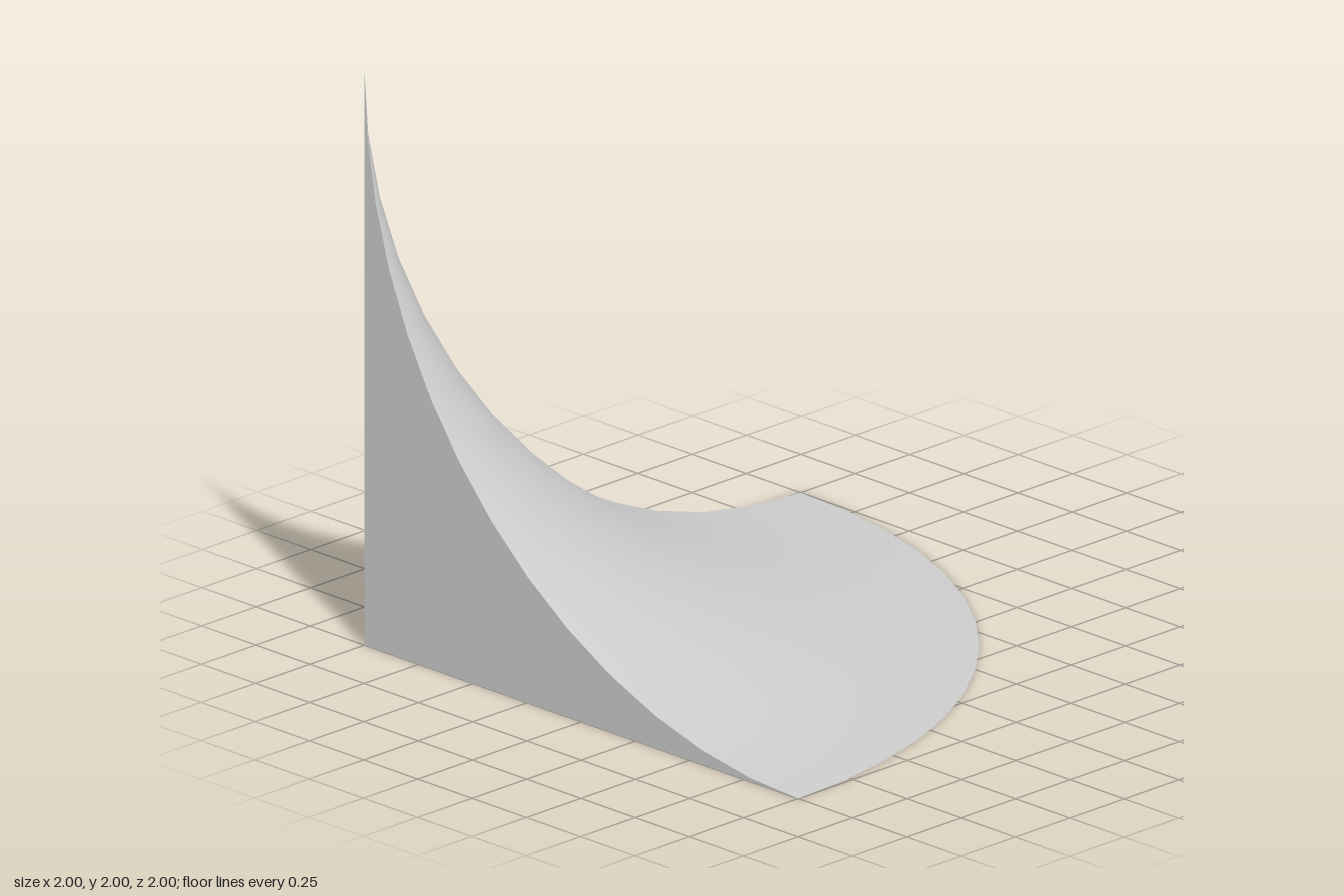
import * as THREE from 'three';

const SIZE = 2;
const SEGMENTS = 14;

export function createModel() {
  const group = new THREE.Group();
  group.name = 'quarterFlare';
  const material = new THREE.MeshStandardMaterial({ color: 0xcccccc });

  const add = (name, geometry) => {
    const mesh = new THREE.Mesh(geometry, material);
    mesh.name = name;
    group.add(mesh);
  };

  // Concave quarter-circle profile, from the outer rim up to the tip
  const profile = [];
  for (let i = 0; i <= SEGMENTS; i++) {
    const a = (i / SEGMENTS) * Math.PI / 2;
    profile.push(new THREE.Vector2(SIZE * (1 - Math.sin(a)), SIZE * (1 - Math.cos(a))));
  }

  // Curved surface: the profile swept a quarter turn about the corner
  add('flaredSurface', new THREE.LatheGeometry(profile, SEGMENTS, Math.PI / 2, Math.PI / 2));

  // Flat walls closing both ends of the sweep
  const wall = (side) => new THREE.ShapeGeometry(new THREE.Shape([
    new THREE.Vector2(0, 0),
    ...profile.map((p) => new THREE.Vector2(side * p.x, p.y)),
  ]));
  add('frontWall', wall(1));
  add('sideWall', wall(-1).rotateY(-Math.PI / 2));

  // Quarter-disc underside
  add('base', new THREE.CircleGeometry(SIZE, SEGMENTS, -Math.PI / 2, Math.PI / 2).rotateX(Math.PI / 2));

  // Centre the footprint
  group.position.set(-SIZE / 2, 0, SIZE / 2);
  return group;
}
